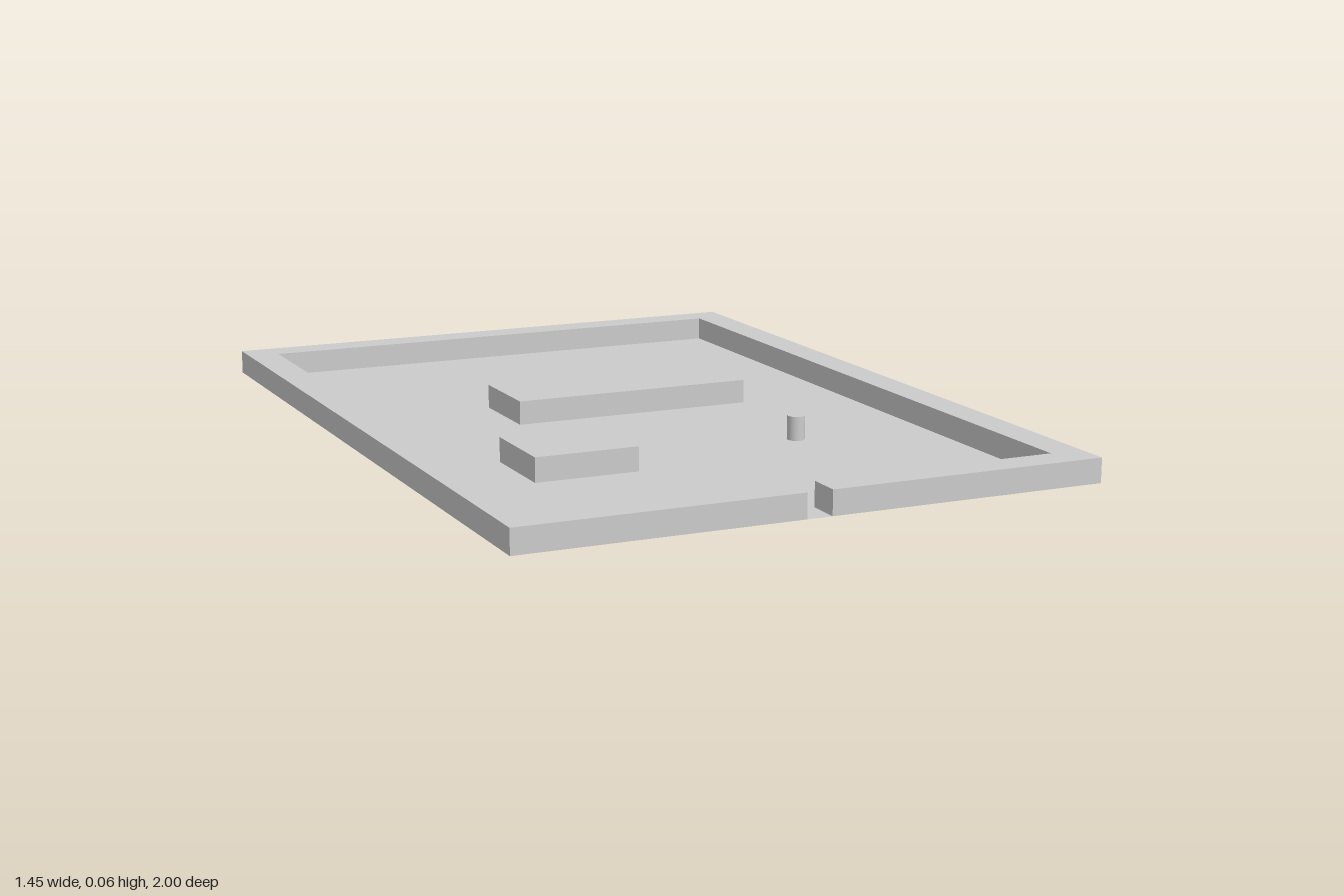
import * as THREE from 'three';

const H = 0.06; // wall and block height
const material = new THREE.MeshStandardMaterial({ color: 0xcccccc, side: THREE.DoubleSide });

// Box standing on the ground between two corners, open underneath
function openBox(name, x0, x1, z0, z1) {
  const geometry = new THREE.BoxGeometry(x1 - x0, H, z1 - z0);
  const index = Array.from(geometry.index.array);
  index.splice(18, 6); // drop the underside
  geometry.setIndex(index);
  geometry.clearGroups();
  const mesh = new THREE.Mesh(geometry, material);
  mesh.name = name;
  mesh.position.set((x0 + x1) / 2, H / 2, (z0 + z1) / 2);
  return mesh;
}

export function createModel() {
  const model = new THREE.Group();
  model.name = 'walledYard';
  const outX = 0.723, inL = 0.64, inR = -0.643;

  // Thin floor, ending at the inner faces of the side walls
  const floor = new THREE.Mesh(new THREE.PlaneGeometry(inL - inR, 2).rotateX(-Math.PI / 2), material);
  floor.name = 'floor';
  floor.position.x = (inL + inR) / 2;
  model.add(floor);

  // Surrounding walls, the side ones hollow below, with a gate gap at the front
  const walls = new THREE.Group();
  walls.name = 'walls';
  walls.add(
    openBox('leftWall', inL, outX, -1, 1),
    openBox('rightWall', -outX, inR, -1, 1),
    openBox('backWall', inR, inL, -1, -0.92),
    openBox('frontWallRight', inR, -0.035, 0.918, 1),
    openBox('frontWallLeft', 0.027, inL, 0.918, 1)
  );
  model.add(walls);

  // Blocks inside the yard
  model.add(
    openBox('longBlock', -0.263, 0.365, -0.307, -0.09),
    openBox('smallBlock', -0.45, -0.19, 0.248, 0.467)
  );

  // Round post
  const post = new THREE.Mesh(new THREE.CylinderGeometry(0.022, 0.022, H, 24), material);
  post.name = 'post';
  post.position.set(0.295, H / 2, 0.33);
  model.add(post);

  return model;
}
